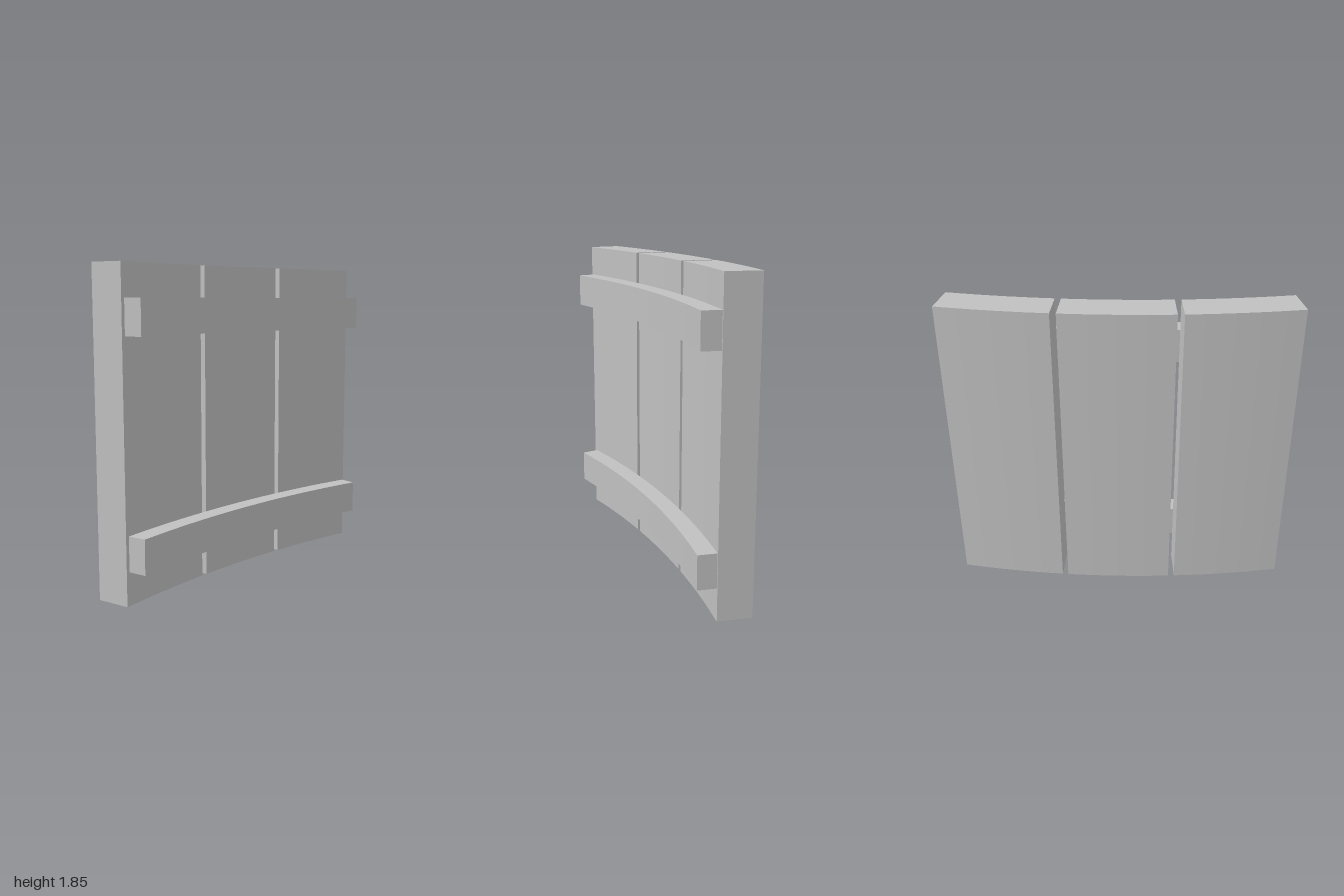
import * as THREE from 'three';

// All parts are sectors of one large ring centred far in front of the panel.
const CENTRE_X = 1, CENTRE_Z = 5.57;
const R_BACK = 5.89, R_FACE = 5.69, R_RAIL = 5.58;

// Ring sector between two radii and two angles (degrees), raised by height.
function arcBlock(rInner, rOuter, from, to, height, segments) {
  const a0 = Math.PI / 2 + THREE.MathUtils.degToRad(from);
  const a1 = Math.PI / 2 + THREE.MathUtils.degToRad(to);
  const shape = new THREE.Shape();
  shape.absarc(CENTRE_X, -CENTRE_Z, rOuter, a0, a1, false);
  shape.absarc(CENTRE_X, -CENTRE_Z, rInner, a1, a0, true);
  shape.closePath();
  const geometry = new THREE.ExtrudeGeometry(shape, {
    depth: height, bevelEnabled: false, curveSegments: segments,
  });
  return geometry.rotateX(-Math.PI / 2);
}

export function createModel() {
  const model = new THREE.Group();
  model.name = 'curvedPlankPanel';
  const grey = new THREE.MeshStandardMaterial({ color: 0xc0c0c0 });
  grey.name = 'grey';

  // Three upright curved planks with narrow gaps between them
  const planks = [[0, 6.3], [6.65, 12.98], [13.35, 19.85]];
  planks.forEach(([from, to], i) => {
    const plank = new THREE.Mesh(arcBlock(R_FACE, R_BACK, from, to, 1.845, 12), grey);
    plank.name = `plank${i + 1}`;
    model.add(plank);
  });

  // Two curved rails across the inner face
  [['lowerRail', 0.19], ['upperRail', 1.46]].forEach(([name, y]) => {
    const rail = new THREE.Mesh(arcBlock(R_RAIL, R_FACE, 0.09, 19.62, 0.2, 36), grey);
    rail.name = name;
    rail.position.y = y;
    model.add(rail);
  });

  return model;
}
